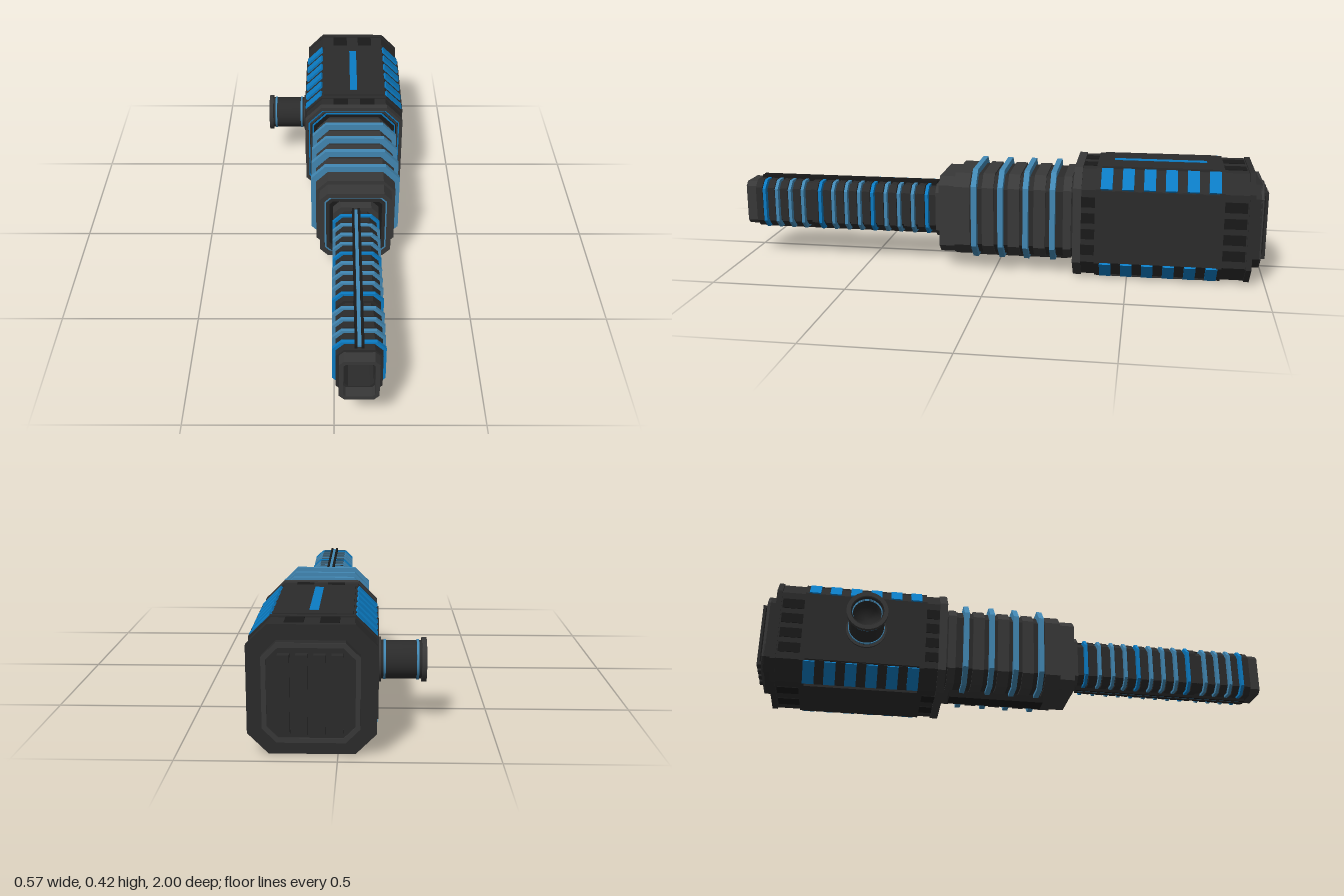
import * as THREE from 'three';

const mat = (color) => new THREE.MeshStandardMaterial({ color });
const dark = mat(0x2b2b2b), grey = mat(0x383838), black = mat(0x1a1a1a);
const blue = mat(0x0b7cc4), paleBlue = mat(0x4288b4);
const lathe = (color) => {
  const m = mat(color);
  m.side = THREE.DoubleSide;
  return m;
};

// Outline of a rectangle with cut corners, half sizes hx, hy and cut c
function octagon(hx, hy, c, Type = THREE.Shape) {
  const s = new Type();
  s.moveTo(hx, -hy + c);
  s.lineTo(hx, hy - c);
  s.lineTo(hx - c, hy);
  s.lineTo(-hx + c, hy);
  s.lineTo(-hx, hy - c);
  s.lineTo(-hx, -hy + c);
  s.lineTo(-hx + c, -hy);
  s.lineTo(hx - c, -hy);
  s.closePath();
  return s;
}

export function createModel() {
  const root = new THREE.Group();
  const body = new THREE.Group(); // everything lies on one long axis
  body.name = 'body';
  body.position.set(0.08, 0.21, 0);
  root.add(body);

  const add = (name, geo, m, x = 0, y = 0, z = 0) => {
    const mesh = new THREE.Mesh(geo, m);
    mesh.name = name;
    mesh.position.set(x, y, z);
    body.add(mesh);
    return mesh;
  };
  const box = (name, m, w, h, d, x, y, z) => add(name, new THREE.BoxGeometry(w, h, d), m, x, y, z);
  // Prism from z0 to z1; a wall thickness t makes it a ring
  const prism = (name, m, hx, hy, c, z0, z1, t = 0, y = 0) => {
    const s = octagon(hx, hy, c);
    if (t) s.holes.push(octagon(hx - t, hy - t, Math.max(c - t * 0.586, 0.002), THREE.Path));
    return add(name, new THREE.ExtrudeGeometry(s, { depth: z1 - z0, bevelEnabled: false }), m, 0, y, z0);
  };

  // Rear housing with end frames
  prism('housing', dark, 0.196, 0.201, 0.065, -0.93, -0.32);
  prism('frontFrame', grey, 0.2, 0.206, 0.066, -0.33, -0.3, 0.013);
  prism('frontInset', black, 0.188, 0.194, 0.062, -0.33, -0.31);
  prism('frontLightLine', blue, 0.187, 0.193, 0.061, -0.33, -0.304, 0.005);
  prism('frontInnerFrame', grey, 0.181, 0.187, 0.06, -0.33, -0.302, 0.006);
  prism('innerLightLine', blue, 0.171, 0.177, 0.057, -0.33, -0.304, 0.005);
  for (const [z0, z1] of [[-0.4, -0.38], [-0.84, -0.82], [-0.945, -0.925]])
    prism('housingBand', dark, 0.2, 0.206, 0.066, z0, z1);

  // Raised panels and vents on the flat sides
  for (const s of [-1, 1]) {
    box('sidePanel', dark, 0.012, 0.27, 0.42, s * 0.199, 0, -0.61);
    box('topPanel', dark, 0.25, 0.012, 0.42, 0, s * 0.204, -0.61);
    for (const [z, d] of [[-0.345, 0.07], [-0.88, 0.08]]) {
      for (const y of [-0.09, -0.03, 0.03, 0.09])
        box('sideVent', black, 0.008, 0.038, d, s * 0.195, y, z);
      for (const x of [-0.055, 0.055])
        box('topVent', black, 0.06, 0.008, d, x, s * 0.2, z);
    }
  }
  box('topLight', blue, 0.03, 0.006, 0.34, 0, 0.2085, -0.61);

  // Light blocks on the four cut corners
  for (const sx of [-1, 1]) for (const sy of [-1, 1]) for (let i = 0; i < 6; i++) {
    const b = box('cornerLight', blue, 0.09, 0.012, 0.042, sx * 0.1655, sy * 0.1705, -0.42 - i * 0.077);
    b.rotation.z = -sx * sy * Math.PI / 4;
  }

  // Rear cap with four staple grips
  prism('rearCap', dark, 0.15, 0.157, 0.045, -0.975, -0.94);
  prism('rearCapRim', grey, 0.15, 0.157, 0.045, -0.98, -0.97, 0.015);
  for (const x of [-0.081, -0.027, 0.027, 0.081]) {
    box('gripBar', dark, 0.036, 0.25, 0.01, x, 0, -0.995);
    for (const s of [-1, 1]) box('gripFoot', dark, 0.036, 0.012, 0.03, x, s * 0.119, -0.982);
  }

  // Middle section with light rings
  prism('middle', dark, 0.145, 0.152, 0.045, -0.32, 0.13, 0, 0.005);
  prism('middleFront', grey, 0.15, 0.157, 0.045, 0.09, 0.15, 0, 0.005);
  prism('middleRear', grey, 0.15, 0.157, 0.045, -0.29, -0.26, 0, 0.005);
  for (const z of [0.072, -0.028, -0.122, -0.222]) {
    prism('lightRing', paleBlue, 0.17, 0.17, 0.055, z - 0.01, z + 0.01, 0.03, 0.01);
  }
  for (const z of [0.022, -0.075, -0.172]) // ribs between the light rings
    prism('middleRib', grey, 0.151, 0.158, 0.046, z - 0.022, z + 0.022, 0, 0.005);
  box('underRail', black, 0.07, 0.03, 0.37, 0, -0.163, -0.085);

  // Collar around the barrel root
  prism('collar', grey, 0.135, 0.147, 0.03, 0.14, 0.21, 0.018);
  prism('collarLight', paleBlue, 0.118, 0.13, 0.022, 0.14, 0.206, 0.008);
  prism('collarLip', dark, 0.111, 0.123, 0.02, 0.14, 0.21, 0.012);
  prism('collarInset', black, 0.105, 0.117, 0.02, 0.14, 0.19);
  prism('barrelRoot', grey, 0.085, 0.102, 0.028, 0.18, 0.235);

  // Barrel, its ribs and light rings
  prism('barrel', dark, 0.066, 0.085, 0.024, 0.2, 0.85);
  prism('barrelFront', dark, 0.066, 0.085, 0.024, 0.85, 0.96, 0.018);
  prism('boreEnd', black, 0.052, 0.071, 0.015, 0.845, 0.86);
  const rings = [0.27, 0.325, 0.38, 0.432, 0.485, 0.538, 0.59, 0.642, 0.695, 0.765, 0.817, 0.87, 0.92];
  rings.forEach((z, i) => {
    prism('barrelLight', i % 4 ? paleBlue : blue, 0.087, 0.095, 0.03, z - 0.006, z + 0.006, 0.023);
    prism('barrelRib', dark, 0.076, 0.093, 0.027, z + 0.012, z + 0.038, 0.012);
  });
  for (const s of [-1, 1]) {
    for (const x of [-0.011, 0.011]) box('railEdge', black, 0.009, 0.02, 0.71, x, s * 0.095, 0.595);
    box('railLight', paleBlue, 0.012, 0.014, 0.7, 0, s * 0.094, 0.595);
  }
  prism('muzzle', grey, 0.065, 0.085, 0.016, 0.955, 1, 0.014);

  // Hollow round port on the right side
  const port = new THREE.Group();
  port.name = 'sidePort';
  port.position.set(-0.195, 0, -0.605);
  port.rotation.z = Math.PI / 2;
  body.add(port);
  const turn = (name, pts, m) => {
    const g = new THREE.LatheGeometry(pts.map(([r, y]) => new THREE.Vector2(r, y)), 32);
    const mesh = new THREE.Mesh(g, m);
    mesh.name = name;
    port.add(mesh);
  };
  const band = (r, y0, y1, ri) => [[ri, y0], [r, y0], [r, y0], [r, y1], [r, y1], [ri, y1]];
  turn('portTube', [[0.065, 0], [0.065, 0.165], [0.055, 0.165], [0.055, 0.09], [0, 0.09]], lathe(0x2b2b2b));
  turn('portBase', band(0.075, 0, 0.018, 0.06), lathe(0x383838));
  turn('portLip', band(0.075, 0.154, 0.17, 0.06), lathe(0x383838));
  for (const y of [0.026, 0.137]) turn('portLight', band(0.068, y, y + 0.008, 0.06), lathe(0x4288b4));
  turn('portInnerLight', band(0.056, 0.145, 0.153, 0.052), lathe(0x4288b4));

  return root;
}
